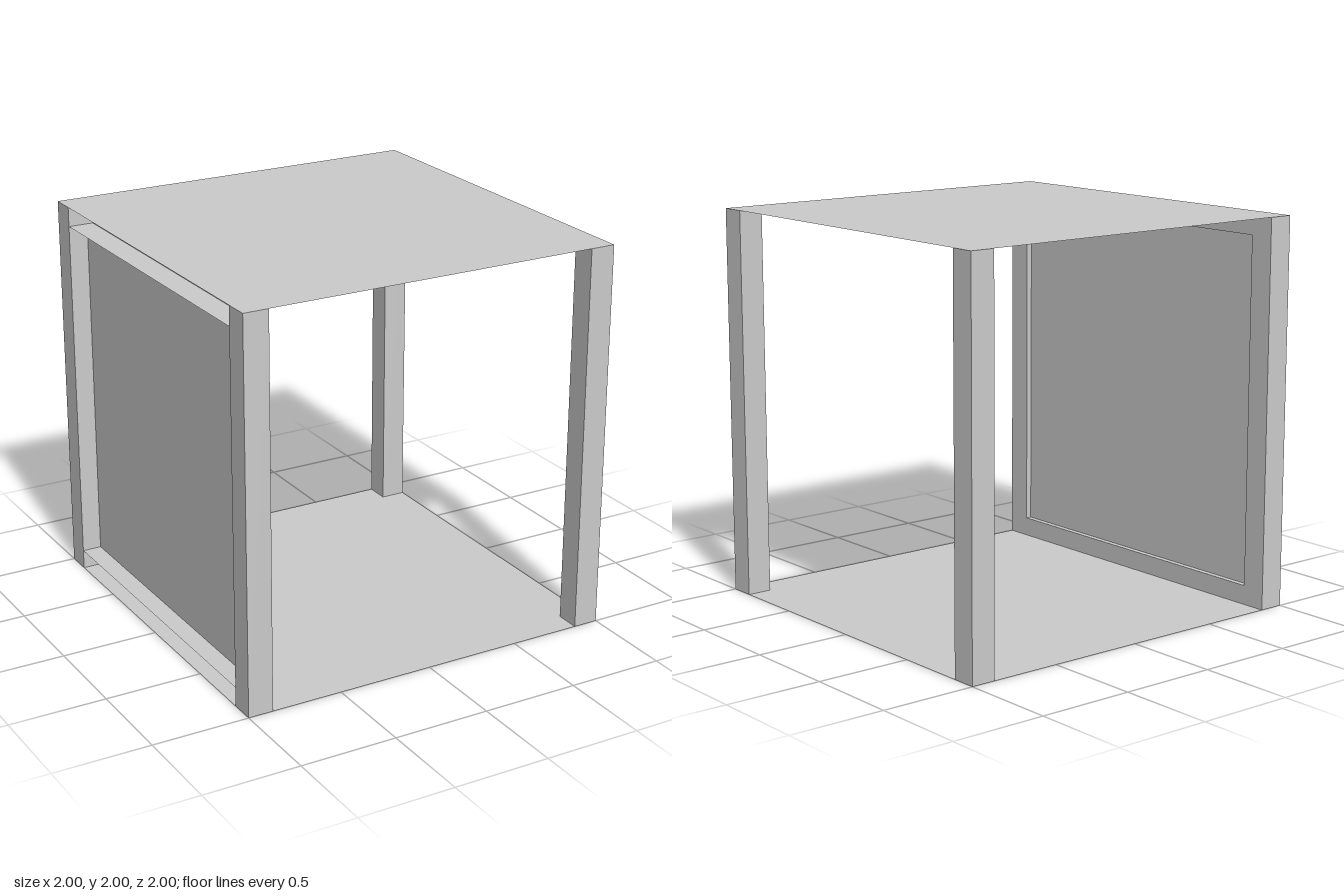
import * as THREE from 'three';

const POST = 0.13; // post thickness
const RAIL = 0.1; // rail height
const SPAN = 2 - 2 * POST; // clear distance between posts

export function createModel() {
  const model = new THREE.Group();
  const solid = new THREE.MeshStandardMaterial({ color: 0xcccccc, flatShading: true });
  const sheet = new THREE.MeshStandardMaterial({ color: 0xcccccc, flatShading: true, side: THREE.DoubleSide });

  function add(parent, name, geometry, material, x, y, z) {
    const mesh = new THREE.Mesh(geometry, material);
    mesh.name = name;
    mesh.position.set(x, y, z);
    parent.add(mesh);
  }
  // Thin sheets: lying flat, or standing and facing sideways
  const flat = (w, d) => new THREE.PlaneGeometry(w, d).rotateX(-Math.PI / 2);
  const upright = (h, d) => new THREE.PlaneGeometry(d, h).rotateY(Math.PI / 2);

  // Four square corner posts
  const postGeometry = new THREE.BoxGeometry(POST, 2, POST);
  for (const x of [-1, 1]) {
    for (const z of [-1, 1]) {
      const name = (z > 0 ? 'front' : 'back') + (x > 0 ? 'Left' : 'Right') + 'Post';
      add(model, name, postGeometry, solid, x * (1 - POST / 2), 1, z * (1 - POST / 2));
    }
  }

  // Paper-thin floor and roof
  add(model, 'floor', flat(2, 2), sheet, 0, 0, 0);
  add(model, 'roof', flat(2, 2), sheet, 0, 2, 0);

  // Side wall: recessed panel between two rails that are open on the outside
  const wall = new THREE.Group();
  wall.name = 'sideWall';
  add(wall, 'wallPanel', upright(2 - 2 * RAIL, SPAN), sheet, -0.9, 1, 0);
  for (const [name, web, flange] of [
    ['bottomRail', RAIL / 2, RAIL],
    ['topRail', 2 - RAIL / 2, 2 - RAIL],
  ]) {
    add(wall, name + 'Web', upright(RAIL, SPAN), sheet, -1 + POST, web, 0);
    add(wall, name + 'Flange', flat(POST, SPAN), sheet, -1 + POST / 2, flange, 0);
  }
  model.add(wall);

  return model;
}
